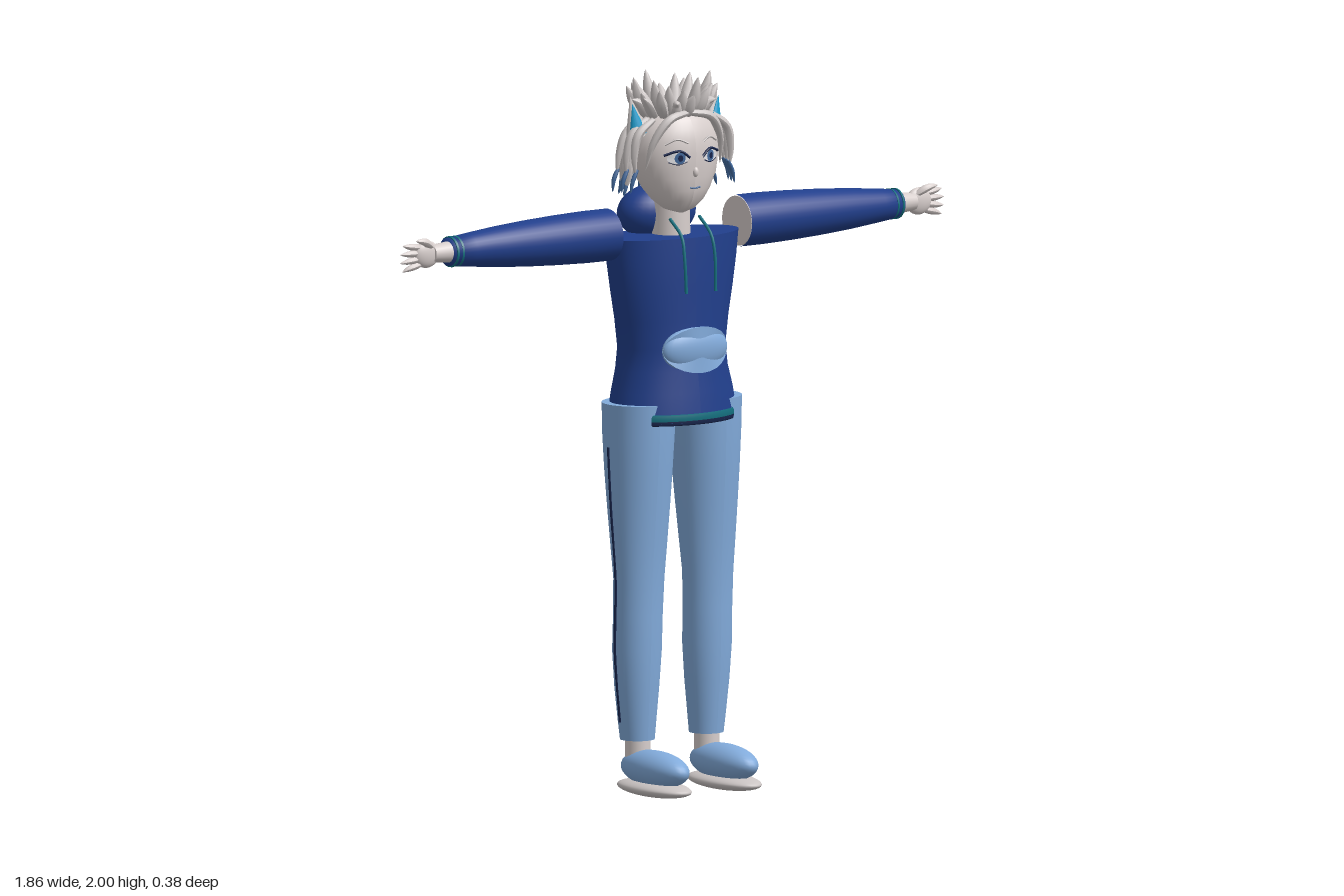
import * as THREE from 'three';

const mat = (name, color, side = THREE.FrontSide) => {
  const m = new THREE.MeshStandardMaterial({ color, side });
  m.name = name;
  return m;
};

export function createModel() {
  const root = new THREE.Group();
  const navy = mat('hoodie navy', 0x213f8c);
  const denim = mat('light denim', 0x82abdb, THREE.DoubleSide);
  const skin = mat('skin', 0xd8cfcd, THREE.DoubleSide);
  const hair = mat('hair', 0xccc6c5);
  const cyan = mat('cyan accent', 0x1c9fd0, THREE.DoubleSide);
  const dark = mat('dark trim', 0x16234a, THREE.DoubleSide);
  const white = mat('eye white', 0xf0f0f4, THREE.DoubleSide);
  const teal = mat('teal trim', 0x14707f);
  const tipBlue = mat('hair tip blue', 0x42699c);

  const V = (x, y, z) => new THREE.Vector3(x, y, z);
  const add = (name, geo, material, pos = [0, 0, 0], scale = [1, 1, 1], parent = root) => {
    const m = new THREE.Mesh(geo, material);
    m.name = name;
    m.position.set(...pos);
    m.scale.set(...scale);
    parent.add(m);
    return m;
  };
  const ball = (name, material, pos, scale) => add(name, new THREE.SphereGeometry(1, 32, 20), material, pos, scale);

  // Closed body through elliptical rings [y, cx, cz, rx, rz], listed top to bottom
  const loft = (rings) => {
    const n = rings.length - 1;
    const g = new THREE.CylinderGeometry(1, 1, 1, 40, n);
    const p = g.attributes.position;
    for (let i = 0; i < p.count; i++) {
      const [y, cx, cz, rx, rz] = rings[Math.round((0.5 - p.getY(i)) * n)];
      p.setXYZ(i, cx + p.getX(i) * rx, y, cz + p.getZ(i) * rz);
    }
    g.computeVertexNormals();
    return g;
  };
  // Ring values at height y
  const ringAt = (rings, y) => {
    let i = 0;
    while (i < rings.length - 2 && rings[i + 1][0] > y) i++;
    const a = rings[i], b = rings[i + 1];
    const t = (a[0] - y) / (a[0] - b[0]);
    return a.map((v, k) => v + (b[k] - v) * t);
  };
  // z of the front (dir 1) or back (dir -1) surface of a loft
  const surfZ = (rings, x, y, dir = 1) => {
    const [, cx, cz, rx, rz] = ringAt(rings, y);
    return cz + dir * rz * Math.sqrt(Math.max(0, 1 - ((x - cx) / rx) ** 2));
  };
  // Tube whose radius follows a rule along its length
  const strand = (name, pts, radius, material, seg = 10, sides = 8) => {
    const curve = new THREE.CatmullRomCurve3(pts);
    const g = new THREE.TubeGeometry(curve, seg, 1, sides, false);
    const p = g.attributes.position;
    for (let i = 0; i < p.count; i++) {
      const t = Math.floor(i / (sides + 1)) / seg;
      const c = curve.getPointAt(t), r = radius(t);
      p.setXYZ(i, c.x + (p.getX(i) - c.x) * r, c.y + (p.getY(i) - c.y) * r, c.z + (p.getZ(i) - c.z) * r);
    }
    g.computeVertexNormals();
    return add(name, g, material);
  };
  const petal = (r) => (t) => r * Math.pow(Math.max(0, Math.sin(Math.PI * (0.2 + 0.8 * t))), 0.8) + 0.0004;
  const even = (r) => () => r;
  // Thin patch laid on a loft's surface; spike gives a jagged edge
  const decal = (name, rings, cx, cy, rx, ry, lift, material, dir = 1, spike = 0) => {
    const g = new THREE.CircleGeometry(1, 24);
    const p = g.attributes.position;
    for (let i = 0; i < p.count; i++) {
      const k = spike && i % 2 ? 1 - spike : 1;
      const x = cx + p.getX(i) * rx * k, y = cy + p.getY(i) * ry * k;
      p.setXYZ(i, x, y, surfZ(rings, x, y, dir) + dir * lift);
    }
    g.computeVertexNormals();
    return add(name, g, material);
  };

  // Hoodie body
  const torso = [
    [1.55, 0, -0.042, 0.215, 0.112], [1.48, 0, -0.042, 0.206, 0.115], [1.4, 0, -0.042, 0.192, 0.116],
    [1.32, 0, -0.042, 0.176, 0.116], [1.24, 0, -0.042, 0.164, 0.118], [1.18, 0, -0.042, 0.17, 0.123],
    [1.12, 0, -0.04, 0.185, 0.13], [1.06, 0, -0.04, 0.196, 0.136], [1.04, 0, -0.04, 0.198, 0.138]];
  add('hoodieBody', loft(torso), navy);
  const hem = (y, r, m) => {
    const t = add('hoodieHem', new THREE.TorusGeometry(1, r, 8, 48), m, [0, y, -0.04], [0.196, 0.137, 1]);
    t.rotation.x = Math.PI / 2;
  };
  hem(1.043, 0.01, dark);
  hem(1.052, 0.012, teal);
  ball('hoodieHood', navy, [0, 1.603, -0.112], [0.123, 0.079, 0.078]);
  decal('frontPocket', torso, 0, 1.24, 0.11, 0.064, 0.02, denim);
  ball('pocketPadding', denim, [0, 1.24, 0.066], [0.109, 0.063, 0.034]);

  // Neck and head
  add('neck', new THREE.CylinderGeometry(0.052, 0.055, 0.13, 24), skin, [0, 1.6, -0.045]);
  const head = [
    [1.913, 0, -0.032, 0.012, 0.01], [1.908, 0, -0.032, 0.04, 0.034], [1.895, 0, -0.032, 0.072, 0.06],
    [1.875, 0, -0.032, 0.098, 0.08], [1.85, 0, -0.032, 0.117, 0.094], [1.82, 0, -0.031, 0.128, 0.102],
    [1.785, 0, -0.03, 0.132, 0.104], [1.75, 0, -0.029, 0.128, 0.102], [1.715, 0, -0.026, 0.117, 0.096],
    [1.68, 0, -0.02, 0.098, 0.085], [1.65, 0, -0.014, 0.075, 0.068], [1.625, 0, -0.008, 0.046, 0.042],
    [1.612, 0, -0.005, 0.012, 0.012]];
  add('head', loft(head), skin);
  const line = (name, pts, r, m) =>
    strand(name, pts.map(([x, y]) => V(x, y, surfZ(head, x, y) + 0.002)), even(r), m, 12, 6);

  for (const s of [1, -1]) {
    // Eyes and brows
    decal('eyeWhite', head, s * 0.055, 1.775, 0.03, 0.016, 0.003, white);
    decal('iris', head, s * 0.052, 1.775, 0.015, 0.016, 0.005, tipBlue);
    decal('pupil', head, s * 0.052, 1.775, 0.007, 0.009, 0.007, dark);
    line('upperLash', [[s * 0.022, 1.775], [s * 0.05, 1.794], [s * 0.092, 1.783]], 0.004, dark);
    line('lowerLash', [[s * 0.03, 1.764], [s * 0.055, 1.757], [s * 0.08, 1.764]], 0.0018, dark);
    line('eyebrow', [[s * 0.025, 1.815], [s * 0.055, 1.826], [s * 0.088, 1.812]], 0.003, hair);

    // Pointed ears
    const ear = new THREE.Group();
    ear.name = 'ear';
    ear.position.set(s * 0.137, 1.888, -0.03);
    ear.rotation.set(0, s * 0.35, -s * 0.2);
    root.add(ear);
    add('earShell', new THREE.ConeGeometry(0.036, 0.115, 16), hair, [0, 0, 0], [1, 1, 0.55], ear);
    add('earInner', new THREE.ConeGeometry(0.026, 0.088, 16), cyan, [0, -0.006, 0.01], [1, 1, 0.55], ear);

    // Face-framing locks
    strand('fringeLock', [V(s * 0.005, 1.895, 0.04), V(s * 0.07, 1.88, 0.045), V(s * 0.113, 1.82, 0.03),
      V(s * 0.128, 1.74, 0.01)], petal(0.012), hair, 16);
    for (let i = 0; i < 3; i++) {
      const z = 0.01 - i * 0.028;
      strand('sideLock', [V(s * 0.1, 1.88, z), V(s * 0.152, 1.84, z), V(s * (0.165 + i * 0.006), 1.78, z),
        V(s * (0.16 + i * 0.012), 1.725, z)], petal(0.012), hair, 14);
      strand('sideLockTip', [V(s * (0.155 + i * 0.012), 1.745, z), V(s * (0.17 + i * 0.012), 1.715, z),
        V(s * (0.178 + i * 0.01), 1.68, z)], petal(0.006), tipBlue);
    }

    // Drawstrings
    strand('drawstring', [V(s * 0.05, 1.6, 0.02), V(s * 0.05, 1.555, 0.075), V(s * 0.052, 1.5, 0.09),
      V(s * 0.05, 1.4, 0.096)], even(0.0045), teal, 14);

    // Sleeve, cuff and arm opening
    const prof = [[0.22, 0.072], [0.3, 0.072], [0.4, 0.069], [0.5, 0.064], [0.6, 0.057], [0.7, 0.047], [0.77, 0.039], [0.77, 0]];
    const along = (name, geo, m, x) => {
      const mesh = add(name, geo, m, [s * x, 1.565, -0.037]);
      mesh.rotation.z = -s * Math.PI / 2;
    };
    along('sleeve', new THREE.LatheGeometry(prof.map(([x, r]) => new THREE.Vector2(r, x)), 32), navy, 0);
    along('shoulderEnd', new THREE.CylinderGeometry(0.069, 0.069, 0.012, 32), skin, 0.227);
    for (const x of [0.745, 0.763])
      along('cuffBand', new THREE.CylinderGeometry(0.0425, 0.0435, 0.006, 32), teal, x);
    along('wrist', new THREE.CylinderGeometry(0.024, 0.03, 0.06, 20), skin, 0.795);

    // Hand
    ball('palm', skin, [s * 0.843, 1.565, -0.037], [0.042, 0.038, 0.018]);
    for (let i = 0; i < 4; i++) {
      const k = i - 1.5, len = 0.935 - Math.abs(k) * 0.008;
      strand('finger', [V(s * 0.86, 1.562 + k * 0.015, -0.037), V(s * 0.9, 1.56 + k * 0.02, -0.037),
        V(s * len, 1.558 + k * 0.024, -0.039)], petal(0.0095), skin);
    }
    strand('thumb', [V(s * 0.83, 1.585, -0.03), V(s * 0.86, 1.602, -0.02), V(s * 0.893, 1.608, -0.016)], petal(0.011), skin);

    // Trouser leg
    const leg = [
      [1.09, 0.113, -0.04, 0.103, 0.102], [1.0, 0.114, -0.04, 0.1, 0.1], [0.9, 0.115, -0.039, 0.095, 0.093],
      [0.8, 0.116, -0.037, 0.089, 0.083], [0.7, 0.117, -0.035, 0.082, 0.073], [0.6, 0.118, -0.033, 0.074, 0.064],
      [0.5, 0.119, -0.036, 0.071, 0.064], [0.4, 0.12, -0.039, 0.07, 0.066], [0.3, 0.12, -0.04, 0.063, 0.061],
      [0.2, 0.119, -0.04, 0.053, 0.053], [0.15, 0.118, -0.04, 0.048, 0.048]]
      .map(([y, cx, ...r]) => [y, s * cx, ...r]);
    add('trouserLeg', loft(leg), denim);
    const seam = [0.97, 0.8, 0.6, 0.4, 0.2].map((y) => {
      const [, cx, cz, rx] = ringAt(leg, y);
      return V(cx + s * (rx + 0.0005), y, cz - 0.006);
    });
    strand('sideSeam', seam, even(0.004), dark, 24, 6);
    decal('kneeTear', leg, s * 0.12, 0.37, 0.04, 0.045, 0.004, skin, -1, 0.42);

    // Ankle and shoe
    add('ankle', new THREE.CylinderGeometry(0.035, 0.035, 0.08, 20), skin, [s * 0.118, 0.13, -0.038]);
    ball('shoeUpper', denim, [s * 0.118, 0.076, 0.043], [0.06, 0.051, 0.138]);
    ball('shoeSole', hair, [s * 0.12, 0.023, 0.042], [0.068, 0.023, 0.148]);
  }

  // Nose and mouth
  ball('nose', skin, [0, 1.733, 0.07], [0.009, 0.014, 0.009]);
  line('mouth', [[-0.018, 1.69], [0, 1.687], [0.018, 1.69]], 0.0022, tipBlue);

  // Crown of upright pointed locks
  for (let ring = 0; ring < 2; ring++)
    for (let i = 0; i < 16; i++) {
      const a = ((i + ring * 0.5) / 16) * Math.PI * 2;
      const h = (ring ? 1.975 : 1.945) + 0.022 * Math.sin(i * 2.4 + ring);
      const at = (r, y) => V(Math.sin(a) * r * 1.12, y, -0.04 + Math.cos(a) * r * 0.86);
      const r = ring ? 0.058 : 0.072;
      strand('crownLock', [at(r, 1.88), at(r + 0.028, 1.92), at(r + 0.05, h)], petal(0.017), hair);
    }

  // Layered locks around the back of the head, with blue ends
  for (let row = 0; row < 2; row++)
    for (let i = 0; i <= 20; i++) {
      const a = Math.PI / 2 + 0.1 + (i / 20) * (Math.PI - 0.2);
      const at = (r, y) => V(Math.sin(a) * r * 1.12, y, -0.035 + Math.cos(a) * r * 0.9);
      const y = 1.845 - row * 0.05, end = 1.71 - row * 0.02 + 0.008 * Math.sin(i * 2.1);
      strand('backLock', [at(0.108, y), at(0.126, y - 0.03), at(0.131, y - 0.08), at(0.136, end)], petal(0.014), hair);
      if (row) strand('backLockTip', [at(0.131, end + 0.022), at(0.138, end), at(0.143, end - 0.02)], petal(0.005), tipBlue, 6, 6);
    }
  return root;
}
